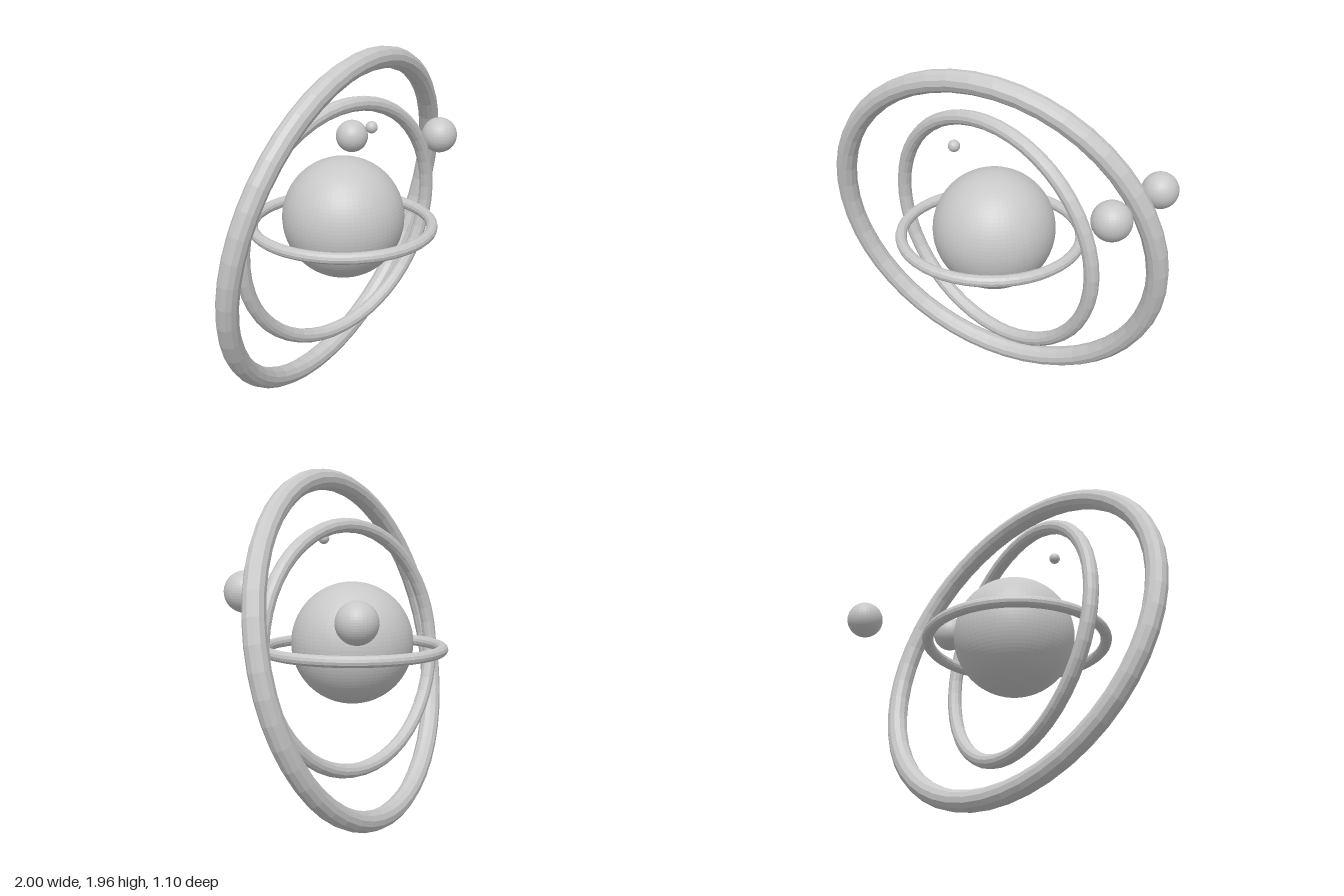
import * as THREE from 'three';

export function createModel() {
  const model = new THREE.Group();
  model.name = 'ringedPlanet';

  const stone = new THREE.MeshStandardMaterial({ color: 0xc8c8c8 });
  stone.name = 'stoneGrey';
  stone.flatShading = true;

  const add = (name, geometry, x, y, z) => {
    const mesh = new THREE.Mesh(geometry, stone);
    mesh.name = name;
    mesh.position.set(x, y, z);
    model.add(mesh);
    return mesh;
  };

  // Planet
  add('planet', new THREE.SphereGeometry(0.335, 64, 48), 0.017, 1.015, 0.024);

  // Rings: name, radius, tube radius, z offset, tilt about x and y in degrees
  const rings = [
    ['innerRing', 0.492, 0.031, 0.028, 90, 0],
    ['middleRing', 0.676, 0.04, 0.024, 5, -12],
    ['outerRing', 0.942, 0.058, 0.011, 11.8, 2.2],
  ];
  for (const [name, radius, tube, z, tiltX, tiltY] of rings) {
    const ring = add(name, new THREE.TorusGeometry(radius, tube, 12, 48), 0, 0.981, z);
    ring.rotation.set(THREE.MathUtils.degToRad(tiltX), THREE.MathUtils.degToRad(tiltY), 0);
  }

  // Moons: name, radius, position
  const moons = [
    ['frontMoon', 0.103, 0.757, 1.339, 0.19],
    ['backMoon', 0.102, 0.777, 1.223, -0.45],
    ['smallMoon', 0.031, -0.078, 1.579, 0.266],
  ];
  for (const [name, radius, x, y, z] of moons) {
    add(name, new THREE.SphereGeometry(radius, 32, 24), x, y, z);
  }

  return model;
}
